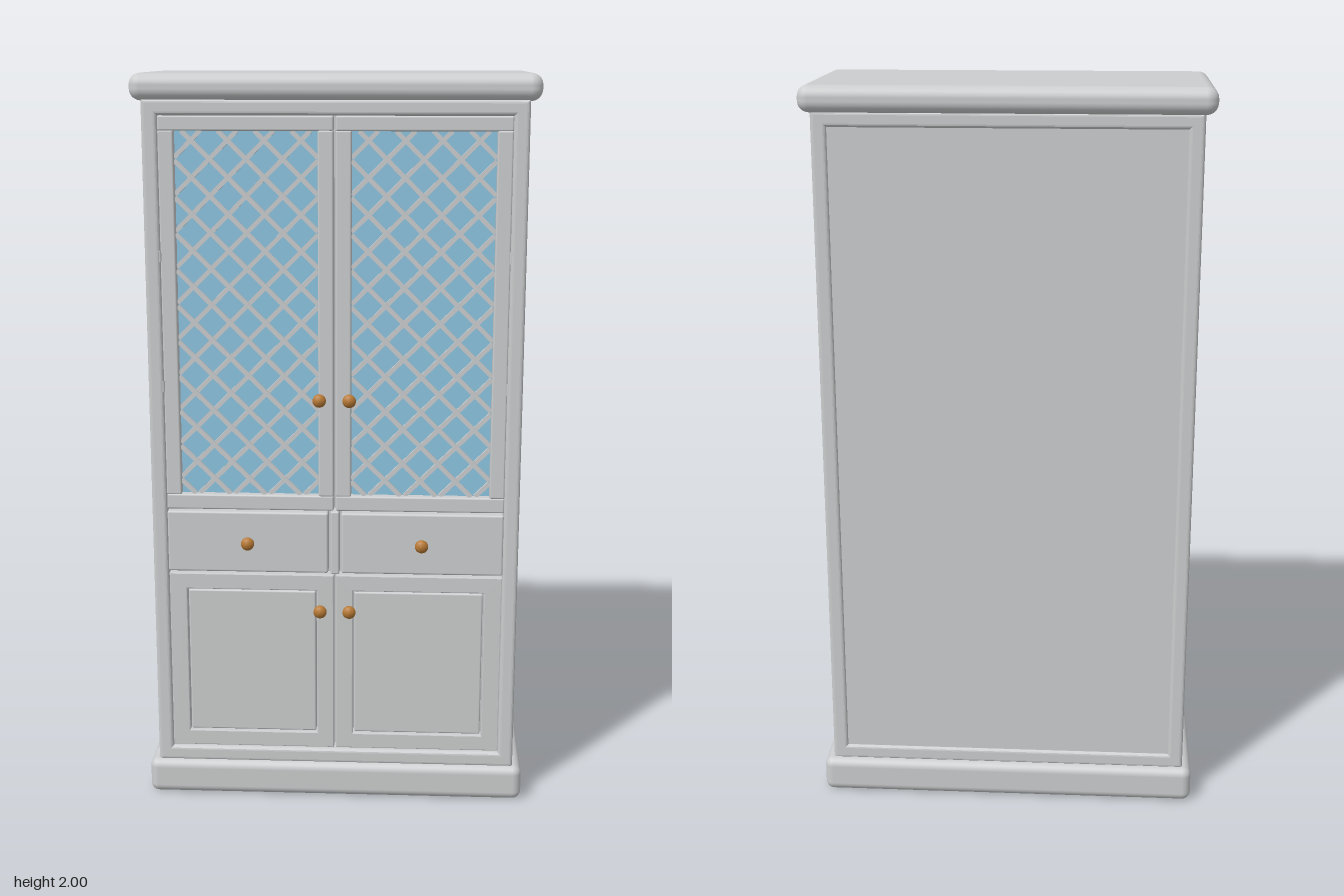
import * as THREE from 'three';
import { RoundedBoxGeometry } from 'three/addons/geometries/RoundedBoxGeometry.js';

const paint = new THREE.MeshStandardMaterial({ color: 0xcbcdce });
paint.name = 'pale grey paint';
const glass = new THREE.MeshStandardMaterial({ color: 0x8cc4e0 });
glass.name = 'blue glass';
const brass = new THREE.MeshStandardMaterial({ color: 0xb87a35 });
brass.name = 'brass';

export function createModel() {
  const model = new THREE.Group();
  model.name = 'displayCabinet';

  const add = (parent, name, geometry, material = paint) => {
    const mesh = new THREE.Mesh(geometry, material);
    mesh.name = name;
    parent.add(mesh);
    return mesh;
  };

  // Rounded box given by its extents
  const slab = (parent, name, [x0, x1], [y0, y1], [z0, z1], r = 0.005, material = paint) => {
    const g = new RoundedBoxGeometry(x1 - x0, y1 - y0, z1 - z0, 3, r);
    g.translate((x0 + x1) / 2, (y0 + y1) / 2, (z0 + z1) / 2);
    return add(parent, name, g, material);
  };

  // Plinth and cornice
  slab(model, 'plinth', [-0.525, 0.525], [0, 0.1], [-0.26, 0.25], 0.024);
  slab(model, 'cornice', [-0.53, 0.53], [1.93, 2], [-0.265, 0.25], 0.03);

  // Carcass: a softened ring open at front and back
  const rectPath = (path, x, y0, y1) => {
    path.moveTo(-x, y0);
    path.lineTo(x, y0);
    path.lineTo(x, y1);
    path.lineTo(-x, y1);
    path.closePath();
    return path;
  };
  const bevel = 0.01;
  const ring = rectPath(new THREE.Shape(), 0.5 - bevel, 0.095 + bevel, 1.935 - bevel);
  ring.holes.push(rectPath(new THREE.Path(), 0.463 + bevel / 2, 0.133 - bevel / 2, 1.898 + bevel / 2));
  const carcass = new THREE.ExtrudeGeometry(ring, {
    depth: 0.475 - 2 * bevel, bevelThickness: bevel, bevelSize: bevel, bevelSegments: 4,
  });
  carcass.translate(0, 0, -0.24 + bevel);
  add(model, 'carcass', carcass);

  // Solid core whose rear face is the inset back panel
  const core = new THREE.BoxGeometry(0.95, 1.79, 0.42);
  core.translate(0, 1.015, -0.023);
  add(model, 'backPanelAndCore', core);

  // Turned knob, pointing forward
  const knobProfile = [
    [0, 0], [0.009, 0], [0.007, 0.008], [0.008, 0.018], [0.014, 0.021],
    [0.018, 0.027], [0.018, 0.032], [0.013, 0.038], [0.006, 0.041], [0, 0.042],
  ].map(([x, y]) => new THREE.Vector2(x, y));
  const knobGeometry = new THREE.LatheGeometry(knobProfile, 20);
  knobGeometry.rotateX(Math.PI / 2);
  const knob = (parent, name, x, y, tip) => {
    add(parent, name, knobGeometry, brass).position.set(x, y, tip - 0.042);
  };

  // Crossed diagonal bars clipped to a pane
  const lattice = (parent, x0, x1, y0, y1) => {
    const group = new THREE.Group();
    group.name = 'lattice';
    parent.add(group);
    const step = 0.0955;
    const w = x1 - x0;
    const h = y1 - y0;
    for (const dir of [1, -1]) {
      for (let c = -w + step * 0.4; c < h; c += step) {
        // Line v = c + u across the pane, mirrored for the other direction
        const u0 = Math.max(0, -c);
        const u1 = Math.min(w, h - c);
        if (u1 - u0 < 0.01) continue;
        const mid = (u0 + u1) / 2;
        const bar = add(group, 'latticeBar',
          new THREE.BoxGeometry((u1 - u0) * Math.SQRT2, 0.012, 0.008));
        bar.position.set(dir > 0 ? x0 + mid : x1 - mid, y0 + c + mid, dir > 0 ? 0.211 : 0.216);
        bar.rotation.z = dir * Math.PI / 4;
      }
    }
  };

  for (const side of [-1, 1]) {
    const label = side > 0 ? 'left' : 'right';
    const span = (a, b) => (side > 0 ? [a, b] : [-b, -a]);
    const depth = [0.18, 0.229];

    // Glazed upper door
    const upper = new THREE.Group();
    upper.name = label + 'GlazedDoor';
    model.add(upper);
    slab(upper, 'topRail', span(0.003, 0.459), [1.854, 1.893], depth);
    slab(upper, 'bottomRail', span(0.003, 0.459), [0.838, 0.88], depth);
    slab(upper, 'innerStile', span(0.003, 0.044), [0.878, 1.856], depth);
    slab(upper, 'outerStile', span(0.418, 0.459), [0.878, 1.856], depth);
    const pane = new THREE.BoxGeometry(0.38, 0.98, 0.008);
    pane.translate(side * 0.231, 1.367, 0.202);
    add(upper, 'glassPane', pane, glass);
    const [px0, px1] = span(0.044, 0.418);
    lattice(upper, px0, px1, 0.88, 1.854);
    knob(upper, 'upperKnob', side * 0.04, 1.15, 0.265);
    for (const y of [1.18, 1.53]) {
      const hinge = add(upper, 'hinge', new THREE.CylinderGeometry(0.005, 0.005, 0.03, 12));
      hinge.position.set(side * 0.461, y, 0.228);
    }

    // Drawer
    slab(model, label + 'Drawer', span(0.018, 0.459), [0.66, 0.832], [0.18, 0.231], 0.006);
    knob(model, label + 'DrawerKnob', side * 0.237, 0.748, 0.265);

    // Panelled lower door
    const lower = new THREE.Group();
    lower.name = label + 'PanelDoor';
    model.add(lower);
    const frame = new THREE.Shape();
    const trace = (path, [x0, x1], y0, y1) => {
      path.moveTo(x0, y0);
      path.lineTo(x1, y0);
      path.lineTo(x1, y1);
      path.lineTo(x0, y1);
      path.closePath();
    };
    trace(frame, span(0.006, 0.456), 0.142, 0.649);
    const opening = new THREE.Path();
    trace(opening, span(0.047, 0.413), 0.181, 0.609);
    frame.holes.push(opening);
    const frameGeometry = new THREE.ExtrudeGeometry(frame, {
      depth: 0.038, bevelThickness: 0.003, bevelSize: 0.003, bevelSegments: 2,
    });
    frameGeometry.translate(0, 0, 0.183);
    add(lower, 'doorFrame', frameGeometry);
    slab(lower, 'doorPanel', span(0.053, 0.407), [0.187, 0.603], [0.18, 0.22], 0.005);
    knob(lower, 'lowerKnob', side * 0.04, 0.552, 0.256);
  }

  // Narrow post between the drawers
  slab(model, 'drawerPost', [-0.012, 0.012], [0.655, 0.835], [0.18, 0.226], 0.005);

  return model;
}
